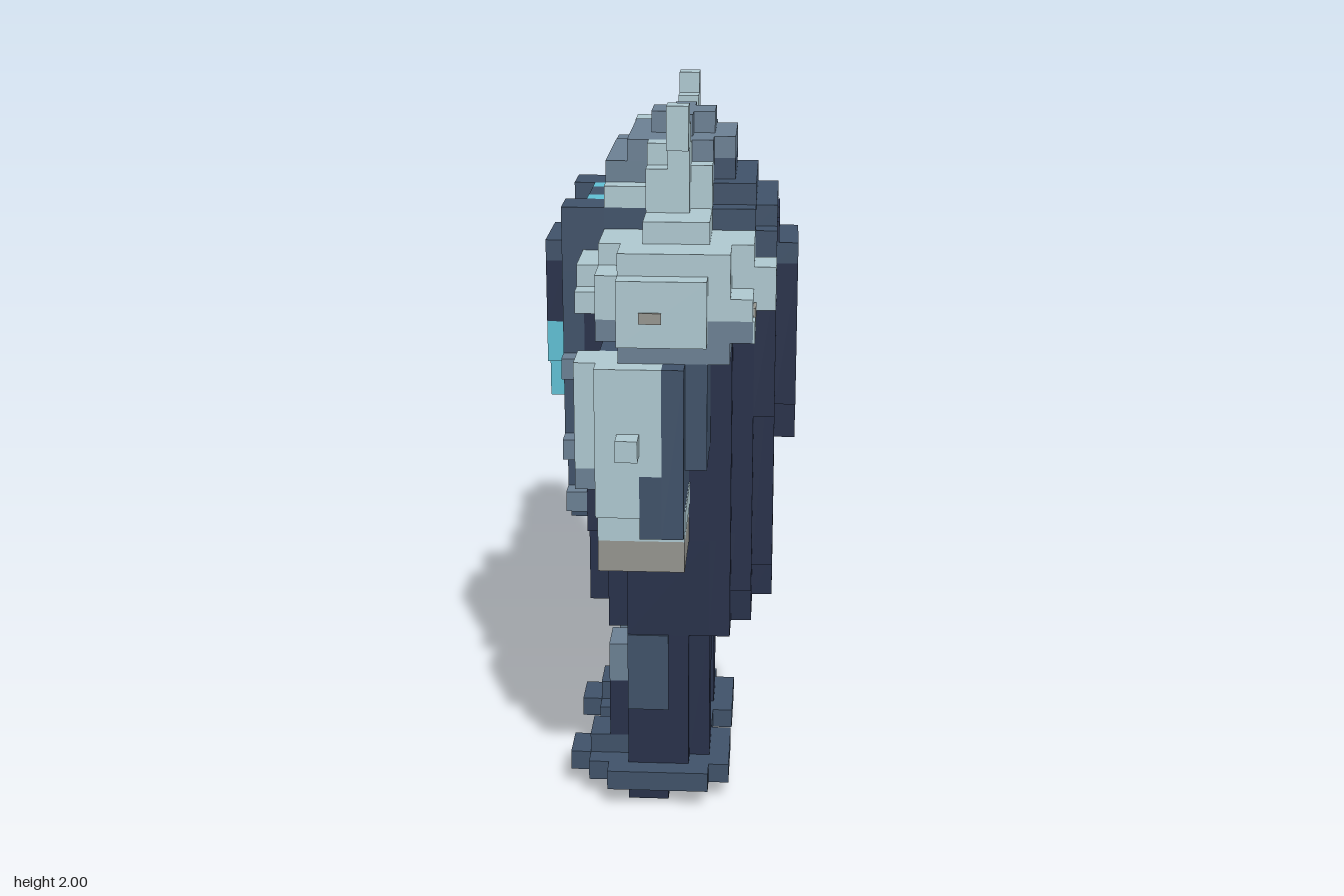
import * as THREE from 'three';
import { mergeGeometries } from 'three/addons/utils/BufferGeometryUtils.js';

const V = 2 / 35; // voxel edge
const MID = 3;    // body centre along z, in voxels

const paint = (name, hex) => {
  const m = new THREE.MeshStandardMaterial({ color: hex });
  m.name = name;
  return m;
};

export function createModel() {
  const pale = paint('pale steel', 0xaec8d0);
  const grey = paint('grey steel', 0x6b8093);
  const blue = paint('slate blue', 0x405269);
  const navy = paint('dark navy', 0x28314a);
  const cyan = paint('glowing cyan', 0x60bfd4);
  const fur = paint('leather brown', 0x95958f);

  const root = new THREE.Group();
  root.name = 'armouredWarrior';

  // Each block is [x0, x1, y0, y1, z0, z1] in voxels, z measured from the body centre
  const part = (name, mat, blocks, side = 1) => {
    const geo = mergeGeometries(blocks.map(([x0, x1, y0, y1, z0, z1]) =>
      new THREE.BoxGeometry((x1 - x0) * V, (y1 - y0) * V, (z1 - z0) * V)
        .translate((x0 + x1) / 2 * V, (y0 + y1) / 2 * V, (MID + side * (z0 + z1) / 2) * V)));
    const mesh = new THREE.Mesh(geo, mat);
    mesh.name = name;
    root.add(mesh);
  };
  const pair = (name, mat, blocks) => {
    part(name + 'Left', mat, blocks, 1);
    part(name + 'Right', mat, blocks, -1);
  };

  // Boots and legs
  pair('bootSole', navy, [[-3, 1, 0, 1, 2, 4], [-2, 0, 0, 1, 1, 5]]);
  pair('bootRim', blue, [
    [-3, 2, 1, 2, 0, 6], [-4, 3, 1, 2, 1, 5], [-5, 3, 1, 2, 2, 4], [-4, -2, 2, 3, 2, 4],
  ]);
  pair('leg', navy, [[-2, 1, 2, 9, 1, 5], [1, 2, 2, 9, 2, 4], [-3, -2, 3, 6, 2, 4]]);
  pair('kneePad', grey, [[-3, -2, 6, 8, 2, 4]]);
  pair('thighPatch', blue, [[-2, 0, 5, 9, 5, 5.1]]);

  // Torso, skirt and cape
  part('skirt', navy, [
    [-2, 2, 8, 10, -1.5, 1.5], [-4, -3, 10, 14, -3, 3], [-3, 2, 9, 14, -4, 4], [-2, 2, 9, 14, -5, 5],
  ]);
  part('torso', navy, [[-4, 4, 14, 26, -4, 4], [-2, 3, 14, 25, -5, 5]]);
  part('cape', navy, [
    [2, 3, 9, 25, -5, 5], [3, 4, 11, 25, -4, 4], [3, 4, 9, 11, -3, 3],
    [4, 5, 12, 27, -3, 3], [4, 5, 10, 12, -2, 2], [4, 5, 20, 27, -4, 4],
    [5, 6, 20, 27, -2, 2], [5, 6, 18, 20, -1, 1], [5, 5.1, 28, 29, -2, 2], [5, 5.1, 29, 29.5, -1, 1],
  ]);
  part('breastplate', blue, [[-5, -4, 19, 27, -4, 4], [-5, -4, 16, 19, -3, 3], [-5, -4, 14, 16, -2, 2]]);
  pair('beltStud', grey, [[-5, -4, 22, 23, 4, 5], [-5, -4, 18, 19, 3, 5], [-5, -4, 15, 16, 3, 4]]);
  part('collar', blue, [
    [-4, 4, 26, 29, -4, 4], [-3, 4, 29, 30, -4, 4], [-5, 5, 27, 29, -4, 4], [4, 5, 29, 30, -3, 3],
    [5, 6, 27, 28, -2, 2], [-6, -5, 27, 28, -2, 2], [-4, -3, 29, 30, -1, 1],
  ]);
  pair('collarSide', blue, [[-5, -3, 29, 30, 2, 4]]);
  part('beard', navy, [[-6, -5, 24, 27, -2, 2]]);
  part('chestEmblem', cyan, [[-6, -5, 22, 24, -2, 2], [-6, -5, 20, 22, -1, 1]]);

  // Hood, helmet, eyes and horns
  part('hood', blue, [[2, 4, 30, 31, -3, 3], [2, 3, 31, 32, -2, 2], [-3, 2, 30, 31, -3, 3]]);
  part('helmet', grey, [
    [-3, 2, 31, 32, -3, 3], [-2, 2, 32, 33, -3, 3], [2, 3, 32, 33, -2, 2],
    [-1, 2, 33, 34, -1, 1], [0, 1, 33, 34, -2, 2],
  ]);
  pair('eye', cyan, [[-4, -3, 29, 30, 1, 2]]);
  pair('horn', pale, [
    [-3, 2, 30, 31, 3, 4], [-1, 1, 30, 31, 4, 5], [-1, 2, 31, 32, 3, 4], [-1, 1, 31, 32, 4, 5],
    [-1, 1, 32, 33, 3, 4], [0, 1, 32, 34, 4, 5], [0, 1, 33, 35, 5, 6],
  ]);

  // Shoulder armour with a worn leather trim
  pair('shoulder', pale, [
    [-4, 4, 26, 27, 4, 8], [-4, 4, 27, 28, 4, 7], [-3, 3, 27, 28, 7, 9], [-3, 4, 26, 27, 8, 9],
    [4, 5, 26, 28, 5, 7], [-2, 2, 25, 28, 9, 10], [-3, 4, 28, 29, 4, 7], [-2, 3, 28, 29, 7, 9],
    [-1, 2, 29, 30, 4, 7], [4, 4.1, 25, 26, 6, 9],
  ]);
  pair('shoulderLining', grey, [[-3, 4, 25, 26, 5, 9], [-2, 3, 24, 25, 5, 9]]);
  pair('shoulderTrim', fur, [[-1, 0, 26.1, 26.6, 10, 10.1], [4, 4.12, 25.8, 26.4, 7.1, 8.2]]);

  // Left arm with its bracer
  part('leftArm', blue, [
    [-3, 0, 16, 24, 5, 7], [0, 1, 16, 24, 5, 10], [1, 2, 19, 24, 5, 9], [-1, 0, 16, 19, 7, 10],
  ]);
  part('leftBracer', pale, [
    [-4, 0, 19, 24, 7, 9], [-3, 0, 19, 24, 9, 10], [-3, -1, 17, 19, 9, 10],
    [-3, -1, 16, 19, 7, 9], [-2, -1, 20, 21, 10, 11],
  ]);
  part('bracerBand', grey, [[-4, -3, 18, 19, 7, 9]]);
  part('leftCuff', pale, [[-3, 1, 15.5, 16, 5, 9], [0, 1.05, 16, 17, 5, 9]]);
  part('leftGlove', fur, [[-3, 1, 14, 15.5, 5, 9]]);

  // Right arm, set back behind the weapon shaft
  part('rightArm', blue, [[-1, 1, 17, 24, 5, 10], [1, 2, 19, 24, 5, 9], [-1, 1, 16, 17, 9, 10]], -1);
  part('rightCuff', pale, [[-1, 1, 15.5, 16, 5, 9], [-1, 1.05, 16, 17, 5, 9]], -1);
  part('rightGlove', fur, [[-1, 1, 14, 15.5, 5, 9]], -1);

  // Axe: shaft, head, pale cutting edge and rune
  part('axeShaft', navy, [[-3, -1, 3, 23, 7, 9]], -1);
  part('axeCap', blue, [[-3, -1, 29, 30, 7, 9]], -1);
  part('axeHead', blue, [
    [-4, -1, 23, 27.5, 7, 11], [-4, -1, 23, 28.2, 11, 12], [-4, -1, 22, 28.5, 12, 14],
    [-4, -1, 22, 29.3, 14, 15.6],
  ], -1);
  part('axeSpine', grey, [
    [-4, -1, 27.5, 29, 7, 9], [-4, -1, 27.5, 28, 9, 11], [-4, -1, 28.2, 29, 11, 12],
    [-4, -1, 28.5, 29, 12, 14], [-4, -1, 29.3, 30, 14, 16], [-4, -1, 21, 22, 14, 16],
    [-4, -1, 24, 29.3, 15.6, 16],
  ], -1);
  part('axeEdge', pale, [
    [-3, -1, 24, 31, 16, 17], [-3, -1, 30, 31, 15, 16], [-3.5, -0.95, 22, 24, 15.1, 16.05],
  ], -1);
  part('axeRune', cyan, [[-4.1, -4, 24.2, 28, 11.6, 12.6], [-4.1, -4, 26.8, 28, 10.8, 11.6]], -1);

  return root;
}
